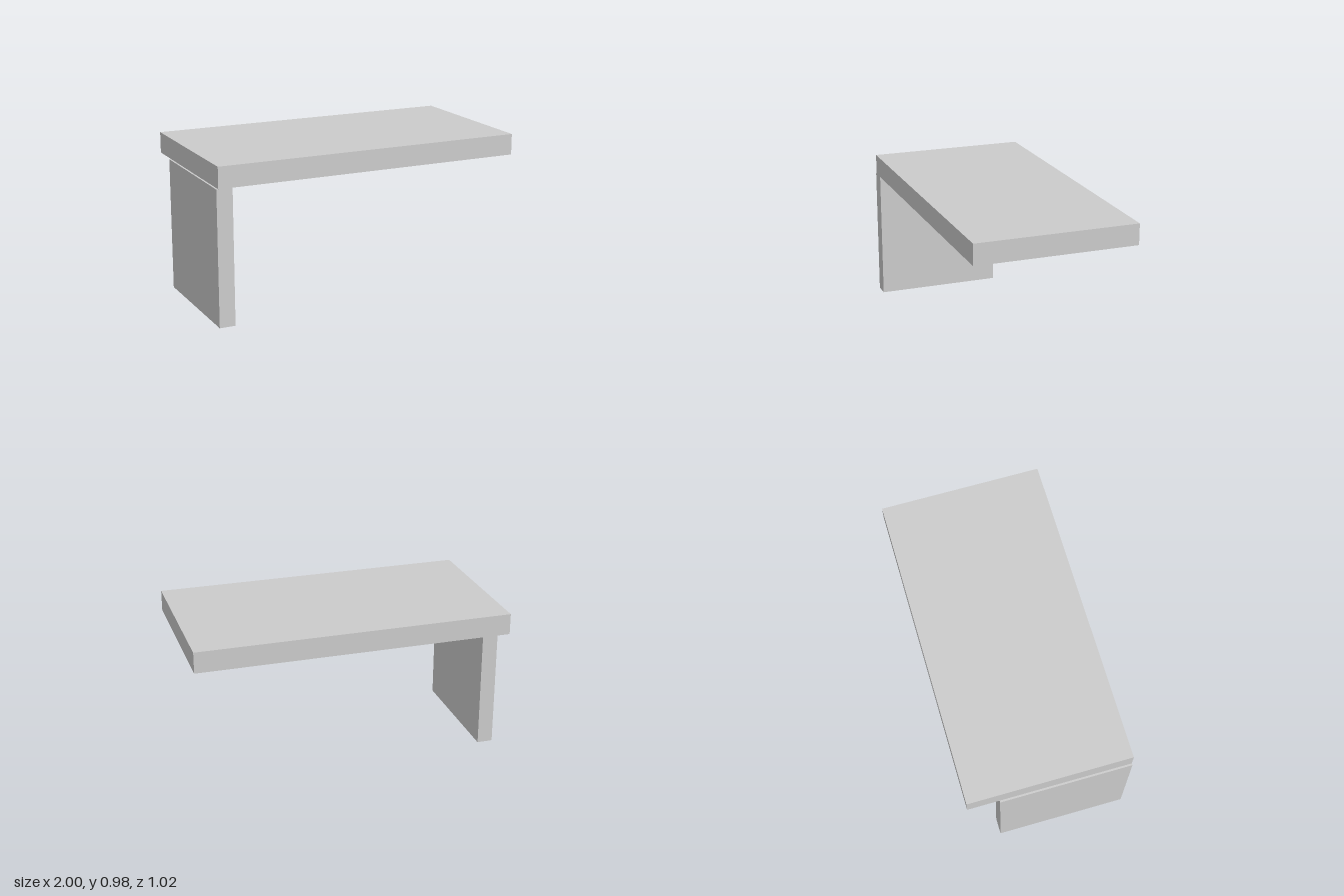
import * as THREE from 'three';

const material = new THREE.MeshStandardMaterial({ color: 0xcccccc, flatShading: true });

// Box spanning the given [min, max] range on each axis
function slab(name, x, y, z) {
  const geometry = new THREE.BoxGeometry(x[1] - x[0], y[1] - y[0], z[1] - z[0]);
  const mesh = new THREE.Mesh(geometry, material);
  mesh.name = name;
  mesh.position.set((x[0] + x[1]) / 2, (y[0] + y[1]) / 2, (z[0] + z[1]) / 2);
  return mesh;
}

export function createModel() {
  const model = new THREE.Group();
  model.name = 'desk';

  // Thick top, cantilevered from one side panel
  model.add(slab('deskTop', [-0.988, 1], [0.846, 0.979], [-0.512, 0.512]));

  // Side panel, flush with the front and set in from the back
  model.add(slab('sidePanel', [-1, -0.9], [0, 0.846], [-0.312, 0.512]));

  return model;
}
